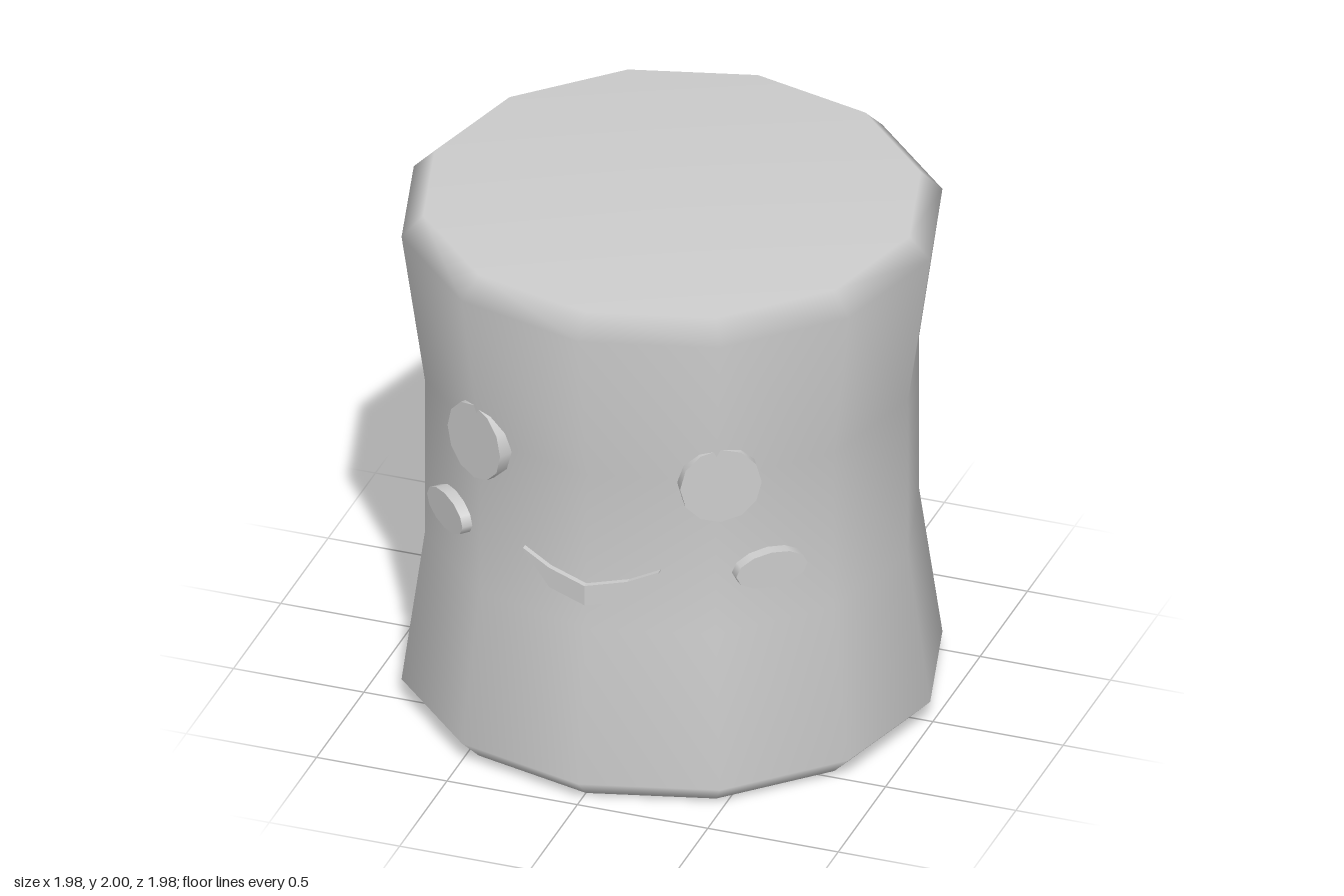
import * as THREE from 'three';

const grey = new THREE.MeshStandardMaterial({ color: 0xcccccc });
grey.name = 'softGrey';

const WAIST = 0.905;              // corner radius of the twelve-sided waist
const SLOPE = Math.tan(Math.PI / 12); // how the faces fall away from a corner

function addMesh(parent, name, geometry) {
  const mesh = new THREE.Mesh(geometry, grey);
  mesh.name = name;
  parent.add(mesh);
}

// Oval disc set into the wall, turned by an angle about the body's axis
function disc(rx, ry, y, degrees) {
  return new THREE.CylinderGeometry(1, 1, 0.055, 12)
    .rotateX(Math.PI / 2)
    .scale(rx, ry, 1)
    .translate(0, y, 0.8925)
    .rotateY(THREE.MathUtils.degToRad(degrees));
}

// Curved strip folded around the front corner; sections are [x, bottom, top]
function mouthStrip(half, proud) {
  const mirrored = half.slice(1).reverse().map(([x, b, t]) => [-x, b, t]);
  const rings = [...mirrored, ...half].map(([x, b, t]) => {
    const back = WAIST - 0.03 - SLOPE * Math.abs(x);
    const front = WAIST + proud - SLOPE * Math.abs(x);
    return [[x, b, back], [x, t, back], [x, t, front], [x, b, front]];
  });
  const pos = [];
  const quad = (a, b, c, d) => pos.push(...a, ...b, ...c, ...a, ...c, ...d);
  for (let i = 0; i < rings.length - 1; i++) {
    for (let j = 0; j < 4; j++) {
      const k = (j + 1) % 4;
      quad(rings[i][j], rings[i][k], rings[i + 1][k], rings[i + 1][j]);
    }
  }
  const [a, b, c, d] = rings[0];
  quad(d, c, b, a);
  quad(...rings[rings.length - 1]);
  const geometry = new THREE.BufferGeometry();
  geometry.setAttribute('position', new THREE.Float32BufferAttribute(pos, 3));
  geometry.computeVertexNormals();
  return geometry;
}

export function createModel() {
  const model = new THREE.Group();
  model.name = 'marshmallow';

  // Waisted body with bevelled rims
  const profile = [
    [0, 0], [0.91, 0], [0.99, 0.08], [WAIST, 0.68],
    [WAIST, 1.32], [0.99, 1.92], [0.91, 2], [0, 2],
  ].map(([r, y]) => new THREE.Vector2(r, y));
  addMesh(model, 'body', new THREE.LatheGeometry(profile, 12));

  // Front face, and an upside-down one on the back
  const frontFace = new THREE.Group();
  frontFace.name = 'frontFace';
  const backFace = new THREE.Group();
  backFace.name = 'backFace';
  backFace.rotation.x = Math.PI;
  for (const face of [frontFace, backFace]) {
    face.position.y = 1;
    model.add(face);
    for (const [side, s] of [['left', 1], ['right', -1]]) {
      addMesh(face, side + 'Eye', disc(0.15, 0.15, 0.305, 31 * s));
    }
  }

  // Cheeks on the front only
  for (const [side, s] of [['left', 1], ['right', -1]]) {
    addMesh(frontFace, side + 'Cheek', disc(0.14, 0.072, -0.077, 43 * s));
  }

  // Crescent smile in front, even-width smile behind
  addMesh(frontFace, 'mouth', mouthStrip(
    [[0, -0.21, -0.13], [0.15, -0.185, -0.105], [0.26, -0.065, -0.06]], 0.022));
  addMesh(backFace, 'mouth', mouthStrip(
    [[0, -0.21, -0.14], [0.12, -0.2, -0.13], [0.34, -0.115, -0.04]], 0.028));

  return model;
}
